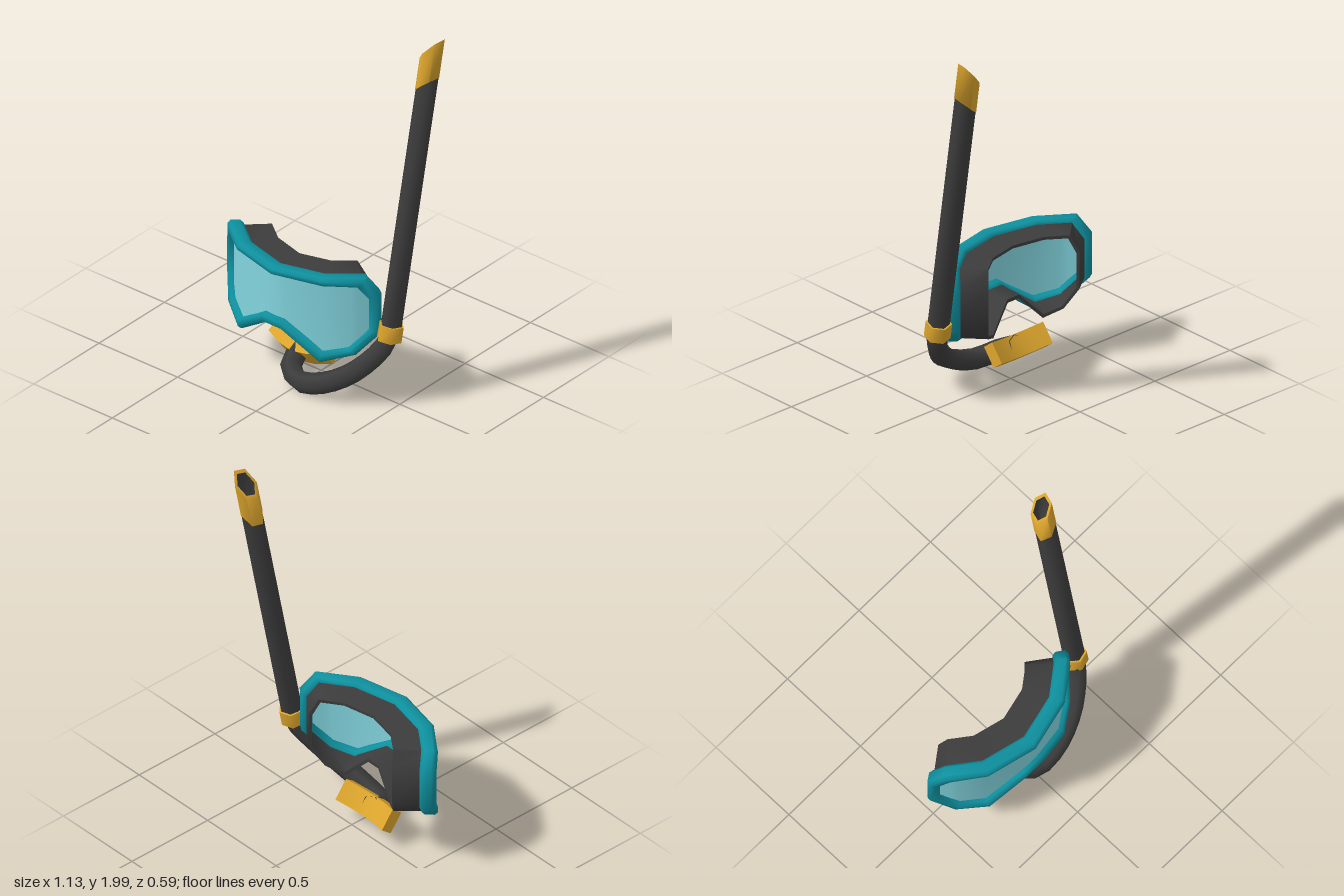
import * as THREE from 'three';
import { toCreasedNormals } from 'three/addons/utils/BufferGeometryUtils.js';

const V = (x, y, z) => new THREE.Vector3(x, y, z);

// Skin through rings of points; optionally join the last ring to the first
function loft(rings, closed = false) {
  const n = rings[0].length, m = rings.length, index = [];
  for (let i = 0; i < (closed ? m : m - 1); i++) {
    for (let j = 0; j < n; j++) {
      const a = i * n + j, b = i * n + (j + 1) % n;
      const k = ((i + 1) % m) * n, c = k + j, d = k + (j + 1) % n;
      index.push(a, c, b, b, c, d);
    }
  }
  const g = new THREE.BufferGeometry().setFromPoints(rings.flat());
  g.setIndex(index);
  return toCreasedNormals(g, 1.1);
}

// Mask is wrapped round an upright cylinder
const CX = -0.08, R = 0.554, ZC = -0.304;
const bend = (u, y, r) => V(CX + u * r / R, y, ZC + r * Math.sqrt(1 - (u / R) ** 2));

// Right half of the frame: [outer u, outer y, inner u, inner y]
const half = [
  [0, 0.7, 0, 0.655], [0.25, 0.705, 0.25, 0.66], [0.415, 0.71, 0.385, 0.66],
  [0.46, 0.615, 0.425, 0.585], [0.46, 0.39, 0.425, 0.41], [0.38, 0.275, 0.355, 0.31],
  [0.24, 0.222, 0.25, 0.28], [0.05, 0.36, 0.06, 0.415],
];
const outline = [...half, ...half.slice(1).reverse().map(([a, b, c, d]) => [-a, b, -c, d])];

// Sweep a section of [outer-to-inner fraction, radius] around the outline
const maskRing = (section) => loft(outline.map(([a, b, c, d]) =>
  section.map(([t, r]) => bend(a + (c - a) * t, b + (d - b) * t, r))), true);

// Straight snorkel barrel: hexagonal ring at height y, cut on a slope
function ring(y, r, slope = 0) {
  const s = y - 0.45;
  const centre = V(0.462 + 0.028 * s, y, 0.02 - 0.178 * s);
  const axis = V(0.028, 1, -0.178);
  const u = V(1, -0.028, 0), w = V(0, 0.175, 0.985);
  return Array.from({ length: 6 }, (_, i) => {
    const a = (i * 60 - 15) * Math.PI / 180, c = r * Math.cos(a);
    return centre.clone().addScaledVector(u, c).addScaledVector(w, r * Math.sin(a))
      .addScaledVector(axis, c * slope);
  });
}

export function createModel() {
  const model = new THREE.Group();
  const material = (name, color, side = THREE.FrontSide) => {
    const m = new THREE.MeshStandardMaterial({ color, side });
    m.name = name;
    return m;
  };
  const teal = material('teal frame', 0x0e909e);
  const glass = material('pale lens', 0x82d4de, THREE.DoubleSide);
  const rubber = material('dark rubber', 0x3c3c3c, THREE.DoubleSide);
  const gold = material('gold', 0xdba42c);
  const add = (name, geometry, mat, parent = model) => {
    const mesh = new THREE.Mesh(geometry, mat);
    mesh.name = name;
    parent.add(mesh);
    return mesh;
  };

  const mask = new THREE.Group();
  mask.name = 'mask';
  const snorkel = new THREE.Group();
  snorkel.name = 'snorkel';
  model.add(mask, snorkel);

  // Bevelled frame and the soft skirt behind it
  add('frame', maskRing([
    [0.25, 0.514], [0.75, 0.514], [1, 0.53], [1, 0.578],
    [0.75, 0.594], [0.25, 0.594], [0, 0.578], [0, 0.53],
  ]), teal, mask);
  add('skirt', maskRing([[0.4, 0.375], [0.75, 0.375], [0.75, 0.53], [0.4, 0.53]]), rubber, mask);

  // Lens columns: [u, top y, bottom y]
  const side = [
    [0.06, 0.67, 0.405], [0.25, 0.67, 0.27], [0.36, 0.67, 0.3],
    [0.39, 0.66, 0.34], [0.43, 0.59, 0.4],
  ];
  const columns = [...side.map(([u, t, b]) => [-u, t, b]).reverse(), [0, 0.67, 0.405], ...side];
  const lens = new THREE.BufferGeometry().setFromPoints(
    columns.flatMap(([u, t, b]) => [bend(u, b, 0.562), bend(u, t, 0.562)]));
  const faces = [];
  for (let i = 0; i < columns.length - 1; i++) {
    const a = i * 2;
    faces.push(a, a + 2, a + 1, a + 1, a + 2, a + 3);
  }
  lens.setIndex(faces);
  lens.computeVertexNormals();
  add('lens', lens, glass, mask);

  // Snorkel barrel, slanted tip and open bore
  add('barrel', loft([ring(0.42, 0.055), ring(1.745, 0.055, 0.9)]), rubber, snorkel);
  add('tip', loft([
    ring(1.745, 0.05, 0.9), ring(1.745, 0.058, 0.9),
    ring(1.935, 0.058, 1.2), ring(1.935, 0.044, 1.2),
  ]), gold, snorkel);
  add('bore', loft([ring(1.935, 0.044, 1.2), ring(1.72, 0.044, 0.9), ring(1.72, 0.001)]), rubber, snorkel);

  // Lower bend running to the mouthpiece
  const path = new THREE.CatmullRomCurve3([
    V(0.463, 0.46, 0.018), V(0.453, 0.37, 0.04), V(0.405, 0.28, 0.09), V(0.305, 0.175, 0.155),
    V(0.17, 0.095, 0.2), V(0.03, 0.056, 0.205), V(-0.06, 0.085, 0.16), V(-0.085, 0.146, 0.044),
  ]);
  add('lowerTube', new THREE.TubeGeometry(path, 14, 0.054, 6), rubber, snorkel);

  // Clip holding the snorkel beside the mask
  add('clip', loft([
    ring(0.38, 0.04), ring(0.38, 0.066), ring(0.462, 0.066), ring(0.462, 0.04),
  ]), gold, snorkel);

  // Curved mouthpiece, tilted up and back
  const arc = [[-0.17, 0], [-0.085, 0.035], [0, 0.05], [0.085, 0.035], [0.17, 0]];
  const shape = new THREE.Shape([
    ...arc.map(([x, y]) => new THREE.Vector2(x, y)),
    ...arc.map(([x, y]) => new THREE.Vector2(x * 1.04, y + 0.065)).reverse(),
  ]);
  const bar = new THREE.ExtrudeGeometry(shape, { depth: 0.115, bevelEnabled: false });
  const mouthpiece = add('mouthpiece', toCreasedNormals(bar, 0.6), gold, snorkel);
  mouthpiece.position.set(-0.083, 0.22, 0.04);
  mouthpiece.rotation.x = 2.23;

  return model;
}
